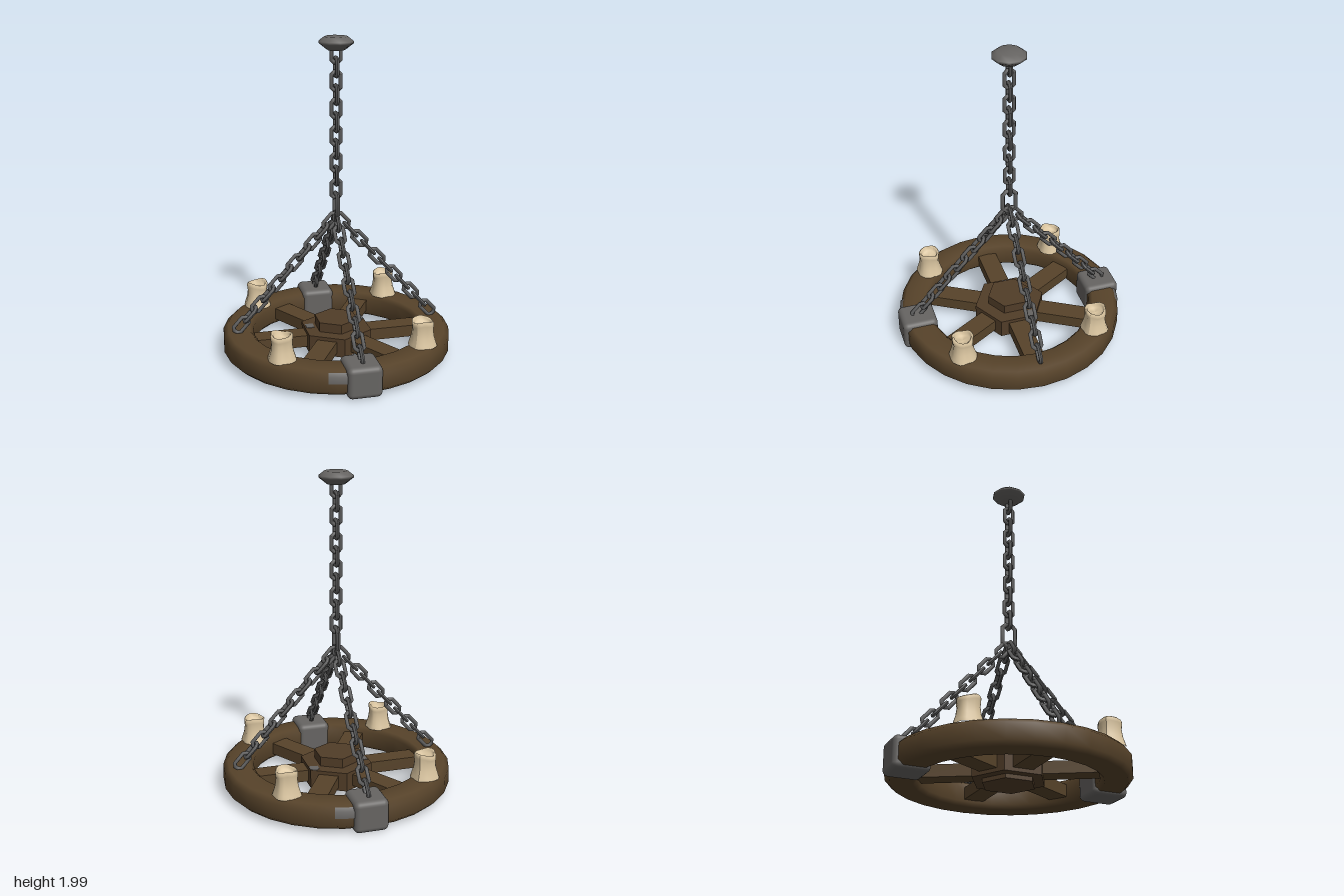
import * as THREE from 'three';
import { RoundedBoxGeometry } from 'three/addons/geometries/RoundedBoxGeometry.js';

const mat = (name, color) => {
  const m = new THREE.MeshStandardMaterial({ color });
  m.name = name;
  return m;
};
const V2 = (pts) => pts.map(([x, y]) => new THREE.Vector2(x, y));

export function createModel() {
  const model = new THREE.Group();
  model.name = 'chandelier';
  const wood = mat('dark wood', 0x57432a);
  const hubWood = mat('hub wood', 0x513d28);
  const iron = mat('iron', 0x666462);
  const chainIron = mat('chain iron', 0x5c5c5c);
  const wax = mat('wax', 0xdac5a0);

  const add = (name, geo, material, parent = model) => {
    const mesh = new THREE.Mesh(geo, material);
    mesh.name = name;
    parent.add(mesh);
    return mesh;
  };
  const faceted = (geo) => {
    const g = geo.toNonIndexed();
    g.computeVertexNormals();
    return g;
  };

  // Wheel rim, a chamfered ring
  add('rim', new THREE.LatheGeometry(V2([
    [0.62, 0.03], [0.685, 0.03], [0.715, 0.058], [0.715, 0.152], [0.685, 0.18],
    [0.62, 0.18], [0.55, 0.18], [0.525, 0.155], [0.525, 0.055], [0.55, 0.03], [0.62, 0.03],
  ]), 28), wood);

  // Iron bands clamped round the rim, with a worn iron patch beside each
  for (const s of [1, -1]) {
    const band = add('band', new RoundedBoxGeometry(0.21, 0.195, 0.225, 3, 0.032), iron);
    band.position.set(0, 0.1075, s * 0.618);
    const patch = new THREE.LatheGeometry(V2([[0.718, 0.11], [0.718, 0.153], [0.698, 0.172]]), 2, -0.3, 0.16);
    add('rimPatch', patch, iron).rotation.y = s > 0 ? 0 : Math.PI;
  }

  // Spokes
  for (let i = 0; i < 6; i++) {
    const g = new THREE.BoxGeometry(0.44, 0.075, 0.125);
    g.translate(0.34, 0.105, 0);
    add('spoke', g, wood).rotation.y = i * Math.PI / 3;
  }

  // Hexagonal hub with caps above and below
  const hex = (name, rTop, rBottom, y0, y1) => {
    const g = faceted(new THREE.CylinderGeometry(rTop, rBottom, y1 - y0, 6));
    add(name, g, hubWood).position.y = (y0 + y1) / 2;
  };
  hex('hub', 0.23, 0.23, 0.045, 0.165);
  hex('hubTop', 0.142, 0.142, 0.165, 0.225);
  hex('hubBottom', 0.165, 0.165, 0.02, 0.045);

  // Worn patches on the hub and a spoke
  const hubPatch = new THREE.ExtrudeGeometry(new THREE.Shape(V2([
    [0.14, 0.07], [0.198, 0.062], [0.198, 0.112], [0.165, 0.133], [0.142, 0.11],
  ])), { depth: 0.003, bevelEnabled: false }).rotateX(-Math.PI / 2);
  add('hubPatch', hubPatch, iron).position.y = 0.165;
  add('spokePatch', new THREE.BoxGeometry(0.05, 0.003, 0.06), iron).position.set(-0.165, 0.1665, -0.03);

  // Octagonal chain link, stretched along y and lying in the xy plane
  const linkGeometry = (radius, wire, stretch) => {
    const g = new THREE.TorusGeometry(radius, wire, 6, 8).rotateZ(Math.PI / 8);
    const p = g.attributes.position;
    for (let i = 0; i < p.count; i++) p.setY(i, p.getY(i) + Math.sign(p.getY(i)) * stretch);
    g.computeVertexNormals();
    return g;
  };
  const link = linkGeometry(0.0305, 0.013, 0.027);
  const chain = (name, count, pitch) => {
    const group = new THREE.Group();
    group.name = name;
    for (let i = 0; i < count; i++) {
      const l = add('link', link, chainIron, group);
      l.position.y = i * pitch;
      l.rotation.y = (i % 2) * Math.PI / 2;
    }
    model.add(group);
    return group;
  };

  // Vertical chain and the large joining link
  chain('mainChain', 11, 0.083).position.y = 1.07;
  const ring = add('joiningLink', linkGeometry(0.045, 0.0145, 0.032), chainIron);
  ring.position.y = 0.965;
  ring.rotation.y = Math.PI / 2;

  // Four slanting chains from the joining link to the rim
  for (let i = 0; i < 4; i++) {
    const a = i * Math.PI / 2;
    const at = (r, y) => new THREE.Vector3(r * Math.cos(a), y, r * Math.sin(a));
    const low = at(0.605, 0.232), high = at(0.035, 0.865);
    const dir = high.clone().sub(low);
    const c = chain('sideChain', 11, dir.length() / 10);
    c.position.copy(low);
    // links keep one axis horizontal, so odd links lie across the chain's plane
    const y = dir.normalize(), z = at(0, 1).cross(at(1, 0)).normalize();
    const x = y.clone().cross(z);
    c.quaternion.setFromRotationMatrix(new THREE.Matrix4().makeBasis(x, y, z));
  }

  // Ceiling cap
  add('ceilingCap', new THREE.LatheGeometry(V2([
    [0, 1.92], [0.055, 1.92], [0.104, 1.958], [0.104, 1.972], [0.07, 1.998], [0, 2.0],
  ]), 10), iron);

  // Melted candles with a hollow top and uneven, dripping wax
  for (let i = 0; i < 4; i++) {
    const a = Math.PI / 4 + i * Math.PI / 2;
    const g = new THREE.LatheGeometry(V2([
      [0.086, 0], [0.08, 0.022], [0.069, 0.06], [0.064, 0.105], [0.068, 0.135],
      [0.069, 0.156], [0.06, 0.163], [0.051, 0.153], [0.047, 0.13], [0, 0.126],
    ]), 20);
    const p = g.attributes.position;
    for (let j = 0; j < p.count; j++) {
      const x = p.getX(j), y = p.getY(j), z = p.getZ(j);
      const t = Math.atan2(x, z), r = Math.hypot(x, z);
      const k = r > 0.055 ? 1 + 0.05 * Math.sin(4 * t + 1 + y * 9) + 0.03 * Math.sin(7 * t + i) : 1;
      const dip = y > 0.12 && r > 0.03 ? 0.008 * Math.sin(2 * t + i) - 0.003 : 0;
      p.setXYZ(j, x * k, y + dip, z * k);
    }
    g.computeVertexNormals();
    const candle = add('candle', g, wax);
    candle.position.set(0.611 * Math.cos(a), 0.178, 0.611 * Math.sin(a));
    candle.rotation.y = -a;
  }
  return model;
}
